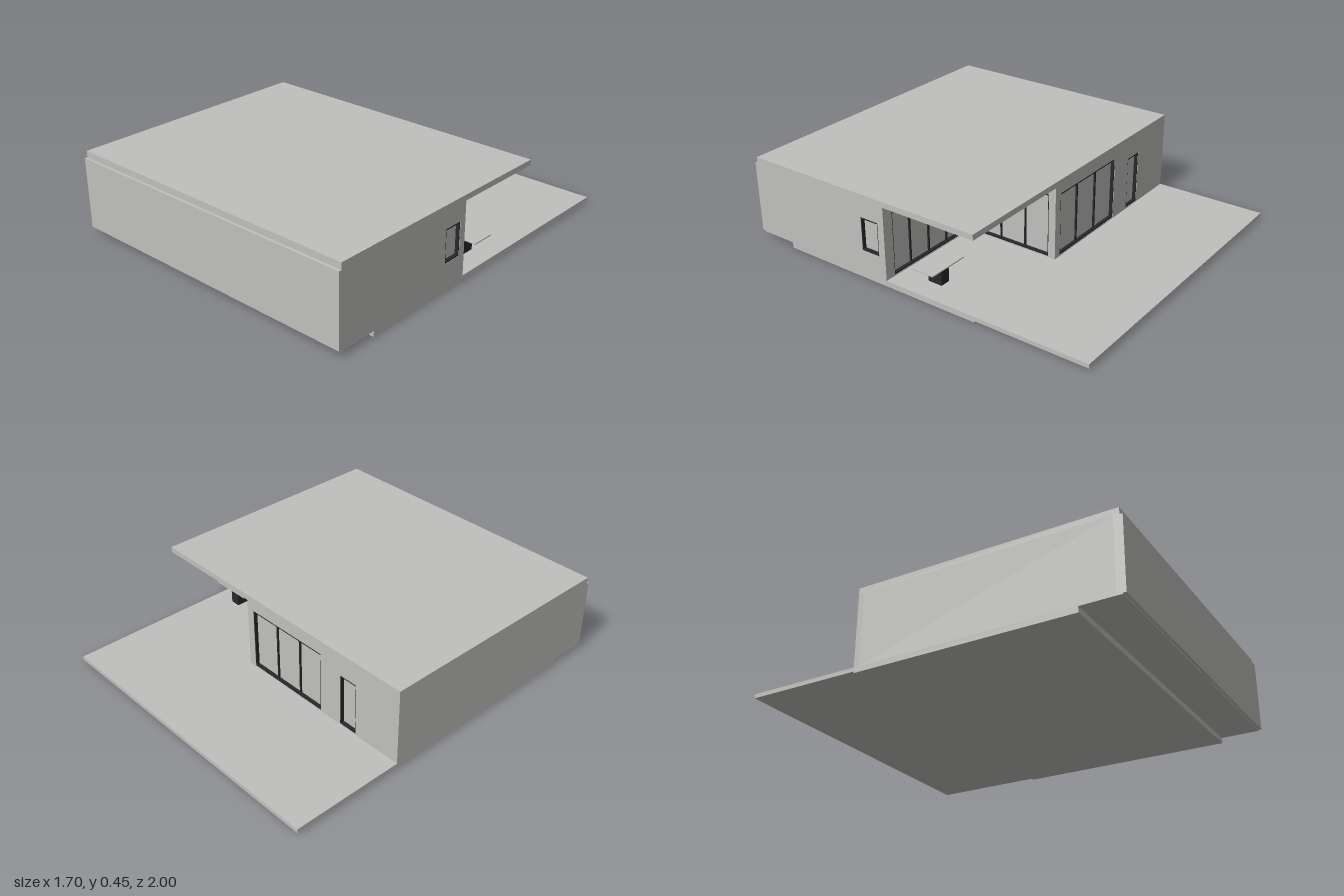
import * as THREE from 'three';

export function createModel() {
  const model = new THREE.Group();
  const concrete = new THREE.MeshStandardMaterial({ name: 'pale grey', color: 0xc0c0bd });
  const dark = new THREE.MeshStandardMaterial({ name: 'black frame', color: 0x262829 });

  // Box given by its extents along each axis
  function block(parent, name, material, [x0, x1], [y0, y1], [z0, z1]) {
    const mesh = new THREE.Mesh(new THREE.BoxGeometry(x1 - x0, y1 - y0, z1 - z0), material);
    mesh.position.set((x0 + x1) / 2, (y0 + y1) / 2, (z0 + z1) / 2);
    mesh.name = name;
    parent.add(mesh);
  }

  const floorY = 0.03, ceilingY = 0.42, thick = 0.03;

  // Dark frame with mullions, and panes set back from the wall face (z = 0)
  function glazing(parent, { u: [a, b], y: [lo, hi], panes }) {
    const depth = [-0.026, -0.002], w = 0.005, h = 0.008;
    block(parent, 'glassPane', concrete, [a, b], [lo, hi], [-0.026, -0.021]);
    block(parent, 'frameSill', dark, [a, b], [lo, lo + h], depth);
    block(parent, 'frameHead', dark, [a, b], [hi - h, hi], depth);
    block(parent, 'frameJamb', dark, [a, a + w], [lo, hi], depth);
    block(parent, 'frameJamb', dark, [b - w, b], [lo, hi], depth);
    for (let i = 1; i < panes; i++) {
      const u = a + (b - a) * i / panes;
      block(parent, 'mullion', dark, [u - 0.004, u + 0.004], [lo, hi], [-0.022, -0.012]);
    }
  }

  // Wall with openings; its outer face looks along local +z
  function wall(name, [a, b], openings, rotation, x, z) {
    const group = new THREE.Group();
    group.name = name;
    const shape = new THREE.Shape();
    shape.moveTo(a, floorY).lineTo(b, floorY).lineTo(b, ceilingY).lineTo(a, ceilingY).closePath();
    for (const { u: [l, r], y: [lo, hi] } of openings) {
      const hole = new THREE.Path();
      hole.moveTo(l, lo).lineTo(l, hi).lineTo(r, hi).lineTo(r, lo).closePath();
      shape.holes.push(hole);
    }
    const geometry = new THREE.ExtrudeGeometry(shape, { depth: thick, bevelEnabled: false });
    geometry.translate(0, 0, -thick);
    const mesh = new THREE.Mesh(geometry, concrete);
    mesh.name = name + 'Panel';
    group.add(mesh);
    openings.forEach((o) => glazing(group, o));
    group.rotation.y = rotation;
    group.position.set(x, 0, z);
    model.add(group);
  }

  // Slabs
  block(model, 'baseSlab', concrete, [-0.85, 0.85], [0, floorY], [-0.39, 0.78]);
  block(model, 'terrace', concrete, [-0.85, 0.85], [0.008, floorY], [-1, -0.39]);
  block(model, 'roof', concrete, [-0.85, 0.85], [ceilingY, 0.45], [-0.39, 0.985]);
  block(model, 'houseFloor', concrete, [-0.82, 0.82], [floorY, 0.035], [0.17, 0.955]);

  // Solid walls
  block(model, 'leftBlankWall', concrete, [-0.85, -0.82], [floorY, ceilingY], [-0.36, 0.955]);
  block(model, 'frontWall', concrete, [-0.85, 0.85], [floorY, ceilingY], [0.955, 0.985]);
  block(model, 'frontCladding', concrete, [-0.85, 0.85], [0.035, 0.415], [0.985, 1]);

  // Walls with windows and doors (local u runs against world x or z)
  const doorY = [0.035, 0.375];
  wall('backWall', [-0.21, 0.85], [
    { u: [-0.167, 0.333], y: doorY, panes: 3 },
    { u: [0.467, 0.575], y: [0.035, 0.325], panes: 1 },
  ], Math.PI, 0, -0.39);
  wall('patioBackWall', [-0.82, -0.18], [
    { u: [-0.79, -0.25], y: doorY, panes: 4 },
  ], Math.PI, 0, 0.14);
  wall('patioSideWall', [-0.14, 0.36], [
    { u: [-0.1, 0.35], y: doorY, panes: 3 },
  ], Math.PI / 2, 0.21, 0);
  wall('sideWall', [-0.955, -0.14], [
    { u: [-0.285, -0.178], y: [0.15, 0.328], panes: 1 },
  ], Math.PI / 2, 0.85, 0);

  // Patio table
  block(model, 'tableTop', concrete, [0.59, 0.82], [0.127, 0.133], [-0.125, 0.005]);
  block(model, 'tablePedestal', dark, [0.675, 0.73], [floorY, 0.127], [-0.1, -0.02]);

  return model;
}
